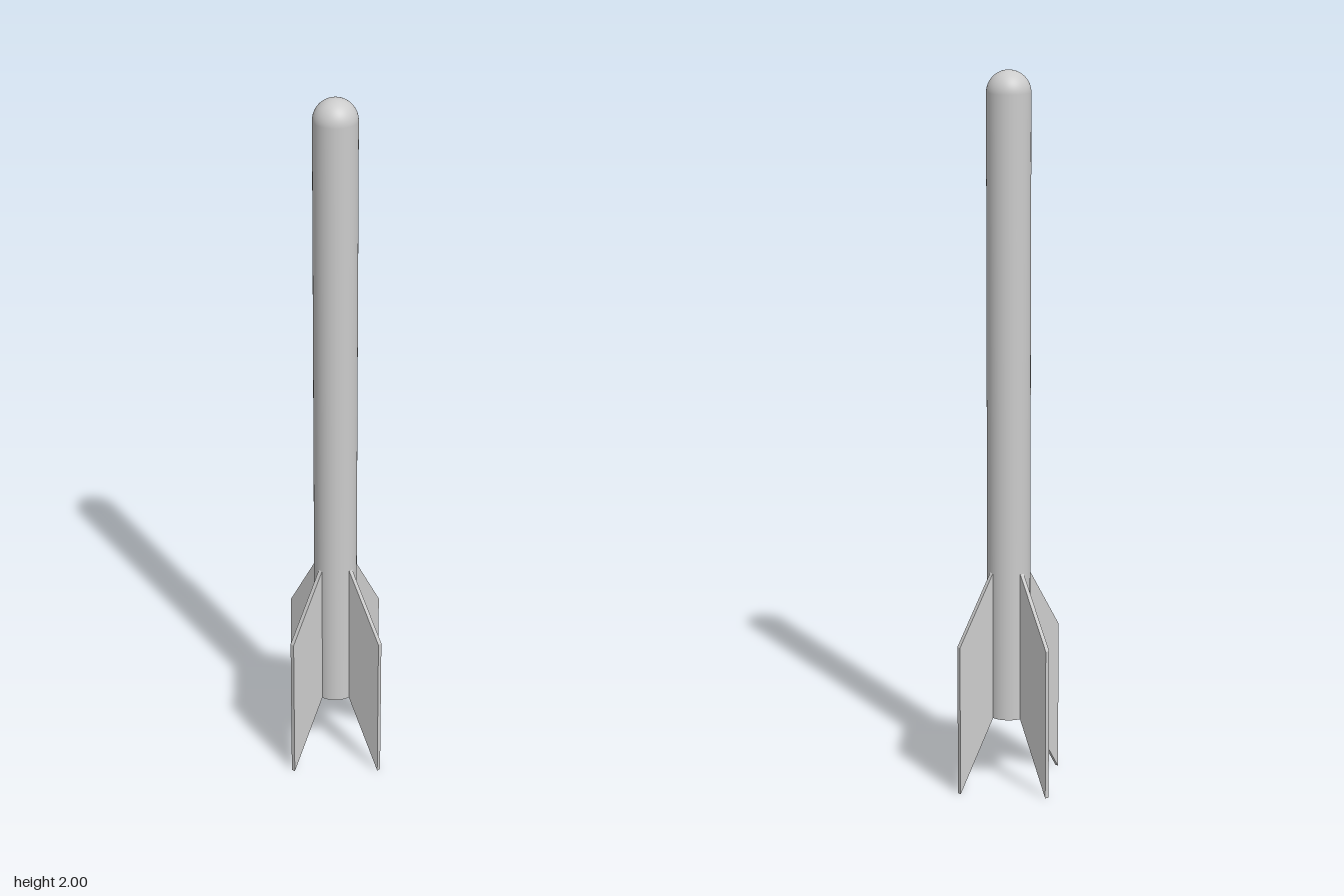
import * as THREE from 'three';

const RADIUS = 0.06;
const BODY_BOTTOM = 0.2;
const BODY_TOP = 1.94;
const FIN_THICKNESS = 0.012;

export function createModel() {
  const model = new THREE.Group();
  model.name = 'rocket';
  const material = new THREE.MeshStandardMaterial({ color: 0xcccccc });

  const add = (name, geometry) => {
    const mesh = new THREE.Mesh(geometry, material);
    mesh.name = name;
    model.add(mesh);
    return mesh;
  };

  // Straight tube with a closed, flat base
  const height = BODY_TOP - BODY_BOTTOM;
  add('body', new THREE.CylinderGeometry(RADIUS, RADIUS, height, 64, 1, true))
    .position.y = BODY_BOTTOM + height / 2;
  const base = add('base', new THREE.CircleGeometry(RADIUS, 64));
  base.rotation.x = Math.PI / 2;
  base.position.y = BODY_BOTTOM;

  // Hemispherical nose
  add('nose', new THREE.SphereGeometry(RADIUS, 64, 24, 0, Math.PI * 2, 0, Math.PI / 2))
    .position.y = BODY_TOP;

  // Four swept fins, rooted just inside the body
  const finShape = new THREE.Shape([
    new THREE.Vector2(0.057, 0.205),
    new THREE.Vector2(0.174, 0),
    new THREE.Vector2(0.174, 0.43),
    new THREE.Vector2(0.057, 0.628),
  ]);
  const finGeometry = new THREE.ExtrudeGeometry(finShape, { depth: FIN_THICKNESS, bevelEnabled: false });
  finGeometry.translate(0, 0, -FIN_THICKNESS / 2);
  ['leftFin', 'backFin', 'rightFin', 'frontFin'].forEach((name, i) => {
    add(name, finGeometry).rotation.y = i * Math.PI / 2;
  });

  return model;
}
